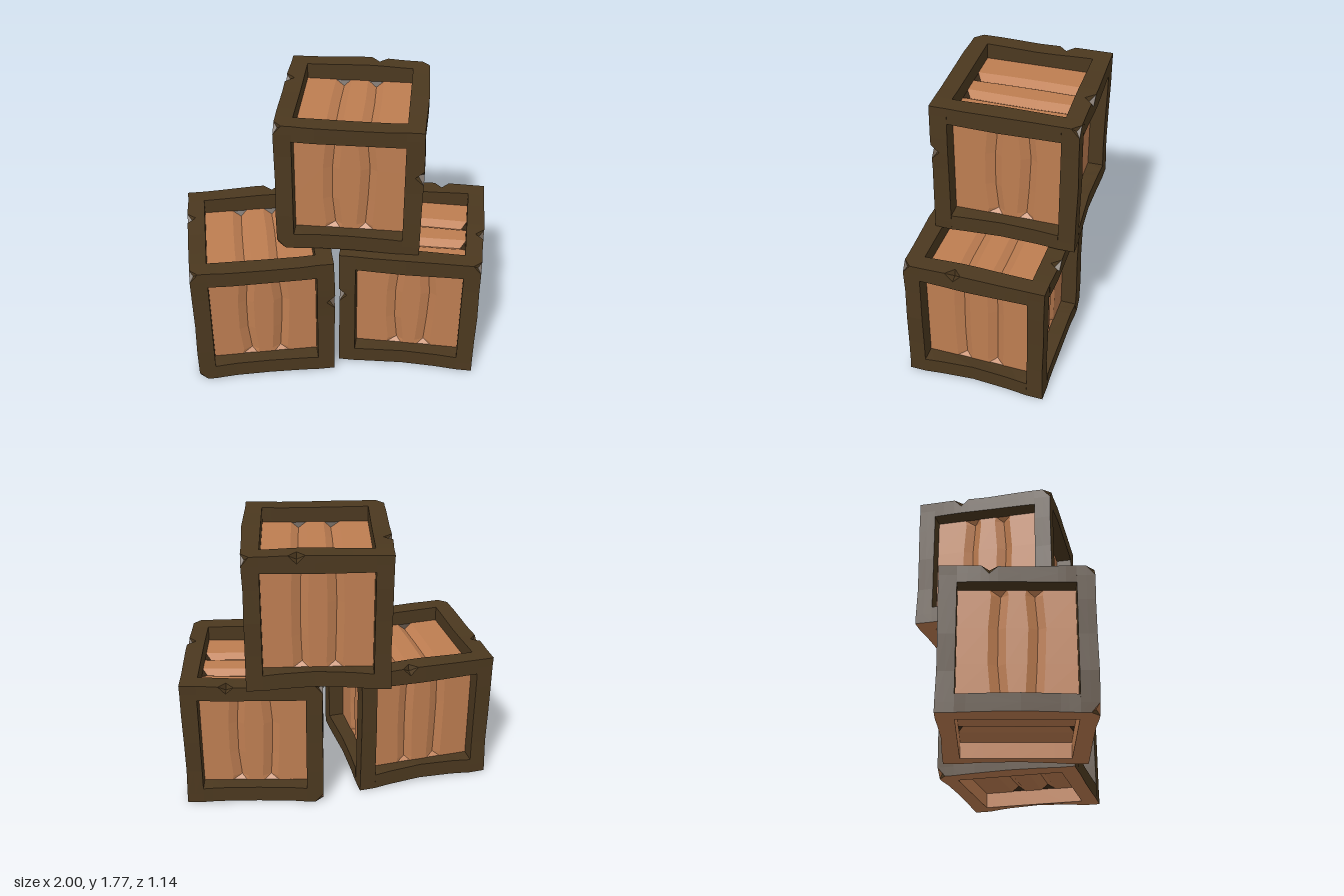
import * as THREE from 'three';

const H = 0.44;        // half the crate's side
const W = 0.105;       // frame beam thickness
const RECESS = 0.1;    // planks sit this far behind the frame
const E = 0.05;        // size of chips and notches

const frameMat = new THREE.MeshStandardMaterial({ color: 0x4b381f });
const woodMat = new THREE.MeshStandardMaterial({ color: 0xbd7d51 });
const grooveEndMat = new THREE.MeshStandardMaterial({ color: 0x3d2c1a });

// Flat-faced geometry from a list of triangles
function fromTriangles(tris) {
  const g = new THREE.BufferGeometry().setFromPoints(tris.flat());
  g.computeVertexNormals();
  return g;
}

function mesh(name, geometry, material) {
  const m = new THREE.Mesh(geometry, material);
  m.name = name;
  return m;
}

// Bare wood shows on the underside of the frame and inside its bottom opening
function isBareWood(tri, axis) {
  const face = new THREE.Triangle(...tri);
  const n = face.getNormal(new THREE.Vector3());
  const c = face.getMidpoint(new THREE.Vector3());
  const facesInward = axis !== 1 && n.x * c.x + n.z * c.z < -0.1;
  return c.y < -0.3 && (n.y < -0.3 || facesInward);
}

// Notches along an edge, and chipped ends, keyed by axis and the two sides
const notches = { '1,1,1': 0.13, '0,1,-1': 0.12, '2,-1,1': -0.155 };
const chips = { '1,-1,1': [1], '1,1,-1': [1, -1] };

// Square beam along one axis; its outer corner is pushed in at notches and chips
function beam(axis, s1, s2) {
  const key = [axis, s1, s2].join();
  const j = (axis + 1) % 3, k = (axis + 2) % 3;
  const L = axis === 1 ? H : H - W;
  const notch = notches[key], chipped = chips[key] ?? [];
  const section = [[0, 0], [W, 0], [W, W - E], [W, W], [W - E, W], [0, W]];
  const stations = [-L, -L + 0.06, -0.2, 0.02, 0.23, L - 0.06, L];
  if (notch !== undefined) stations.push(notch - 0.05, notch, notch + 0.05);
  stations.sort((a, b) => a - b);

  // The outer faces bow unevenly; the outer side of a bottom beam arches upward
  const seed = axis * 2.3 + s1 * 1.7 + s2 * 0.9;
  const isBottom = (axis === 0 && s1 < 0) || (axis === 2 && s2 < 0);
  const vertical = axis === 0 ? 0 : 1;
  const arch = key === '0,-1,-1' ? 0.02 : 0.01;
  const bow = (t, n, pq) => {
    const fade = 1 - (t / L) ** 2;
    if (isBottom && n === vertical) return -arch * fade * pq[1 - n] / W;
    const wave = Math.sin(seed * (n + 2)) + 0.5 * Math.sin(t * 9 + seed + n);
    return 0.007 * fade * wave * pq[n] / W;
  };
  const rings = stations.map((t) => {
    const end = Math.abs(t) === L ? Math.sign(t) : 0;
    return section.map(([p, q], i) => {
      let push = 0, along = t;
      if (i === 3 && t === notch) push = E * 0.8;
      if (i === 3 && end && chipped.includes(end)) {
        push = 0.024;
        along -= end * 0.028;
      }
      const v = new THREE.Vector3();
      v.setComponent(axis, along);
      v.setComponent(j, s1 * (H - W + p - push + bow(t, 0, [p, q])));
      v.setComponent(k, s2 * (H - W + q - push + bow(t, 1, [p, q])));
      return v;
    });
  });

  const tris = [];
  for (let r = 0; r < rings.length - 1; r++) {
    const a = rings[r], b = rings[r + 1];
    const leaving = r === 0 || stations[r] === notch;
    for (let m = 0; m < 6; m++) {
      const n = (m + 1) % 6;
      // The diagonal runs so that every notch narrows to a point
      if ((m === 2) === leaving) tris.push([a[m], a[n], b[n]], [a[m], b[n], b[m]]);
      else tris.push([a[m], a[n], b[m]], [a[n], b[n], b[m]]);
    }
  }
  for (const [x, y, z] of [[0, 1, 2], [0, 2, 4], [0, 4, 5], [2, 3, 4]]) {
    const a = rings[0], b = rings[rings.length - 1];
    tris.push([a[x], a[z], a[y]], [b[x], b[y], b[z]]);
  }
  if (s1 * s2 < 0) tris.forEach((t) => t.reverse());

  const group = new THREE.Group();
  group.name = 'frameBeam';
  const bare = tris.filter((t) => isBareWood(t, axis));
  group.add(mesh('beam', fromTriangles(tris.filter((t) => !bare.includes(t))), frameMat));
  if (bare.length) group.add(mesh('bareUnderside', fromTriangles(bare), woodMat));
  return group;
}

// Three planks parted by two V grooves that close at their ends
function plankPanel({ centres, wander, darkEnds }) {
  const P = H - W + 0.004, D = 0.028;
  const group = new THREE.Group();
  group.name = 'plankPanel';
  const rows = [-P, -P + 0.035, -0.12, 0.1, P - 0.035, P];
  const grid = rows.map((v, r) => {
    const edge = r === 0 || r === rows.length - 1;
    const line = [new THREE.Vector3(-P, v, 0)];
    centres.forEach((c, n) => {
      const sway = edge ? 0 : wander * Math.sin(r * 1.9 + n * 2.6);
      line.push(
        new THREE.Vector3(c - 0.055 + sway, v, 0),
        new THREE.Vector3(c + sway, v, edge ? 0 : -D),
        new THREE.Vector3(c + 0.045 + sway, v, 0));
    });
    line.push(new THREE.Vector3(P, v, 0));
    return line;
  });
  const tris = [], wedges = [];
  for (let r = 0; r < rows.length - 1; r++) {
    for (let c = 0; c < grid[0].length - 1; c++) {
      const [a, b, d, e] = [grid[r][c], grid[r][c + 1], grid[r + 1][c + 1], grid[r + 1][c]];
      const sloping = c % 3 !== 0;
      const first = r === 0, last = r === rows.length - 2;
      // Split so the groove end is one clean wedge, dark where it is stained
      const flip = (first && c % 3 === 2) || (last && c % 3 === 1);
      const pair = flip ? [[a, b, e], [b, d, e]] : [[a, b, d], [a, d, e]];
      pair.forEach((tri, i) => {
        const isEnd = sloping && ((first && i === 0) || (last && i === 1));
        (darkEnds && isEnd ? wedges : tris).push(tri);
      });
    }
  }
  group.add(mesh('planks', fromTriangles(tris), woodMat));
  if (darkEnds) group.add(mesh('grooveEnds', fromTriangles(wedges), grooveEndMat));
  return group;
}

const Q = Math.PI / 2;
const panels = [
  { turn: [0, 0], centres: [-0.1, 0.11], wander: 0.012 },                    // front
  { turn: [0, Q], centres: [-0.08, 0.12], wander: 0.012 },                   // left
  { turn: [0, 2 * Q], centres: [-0.1, 0.11], wander: 0.004 },                // back
  { turn: [0, -Q], centres: [-0.1, 0.11], wander: 0.01 },                    // right
  { turn: [-Q, 0], centres: [-0.1, 0.11], wander: 0.003, darkEnds: true },   // top
  { turn: [Q, 0], centres: [-0.1, 0.11], wander: 0.003, darkEnds: true },    // bottom
];

function crate(name) {
  const group = new THREE.Group();
  group.name = name;
  for (let axis = 0; axis < 3; axis++)
    for (const s1 of [-1, 1]) for (const s2 of [-1, 1]) group.add(beam(axis, s1, s2));
  for (const spec of panels) {
    const panel = plankPanel(spec);
    panel.rotation.set(...spec.turn, 0);
    panel.translateZ(H - RECESS);
    group.add(panel);
  }
  return group;
}

export function createModel() {
  const model = new THREE.Group();
  model.name = 'crateStack';
  // name, x, y, z, turn
  const layout = [
    ['rightCrate', -0.525, H, 0.09, 0.085],
    ['leftCrate', 0.493, H, 0.05, -0.172 - Math.PI / 2],
    ['topCrate', 0.104, 3 * H, -0.068, -0.145],
  ];
  for (const [name, x, y, z, turn] of layout) {
    const c = crate(name);
    c.position.set(x, y, z);
    c.rotation.y = turn;
    model.add(c);
  }
  return model;
}
